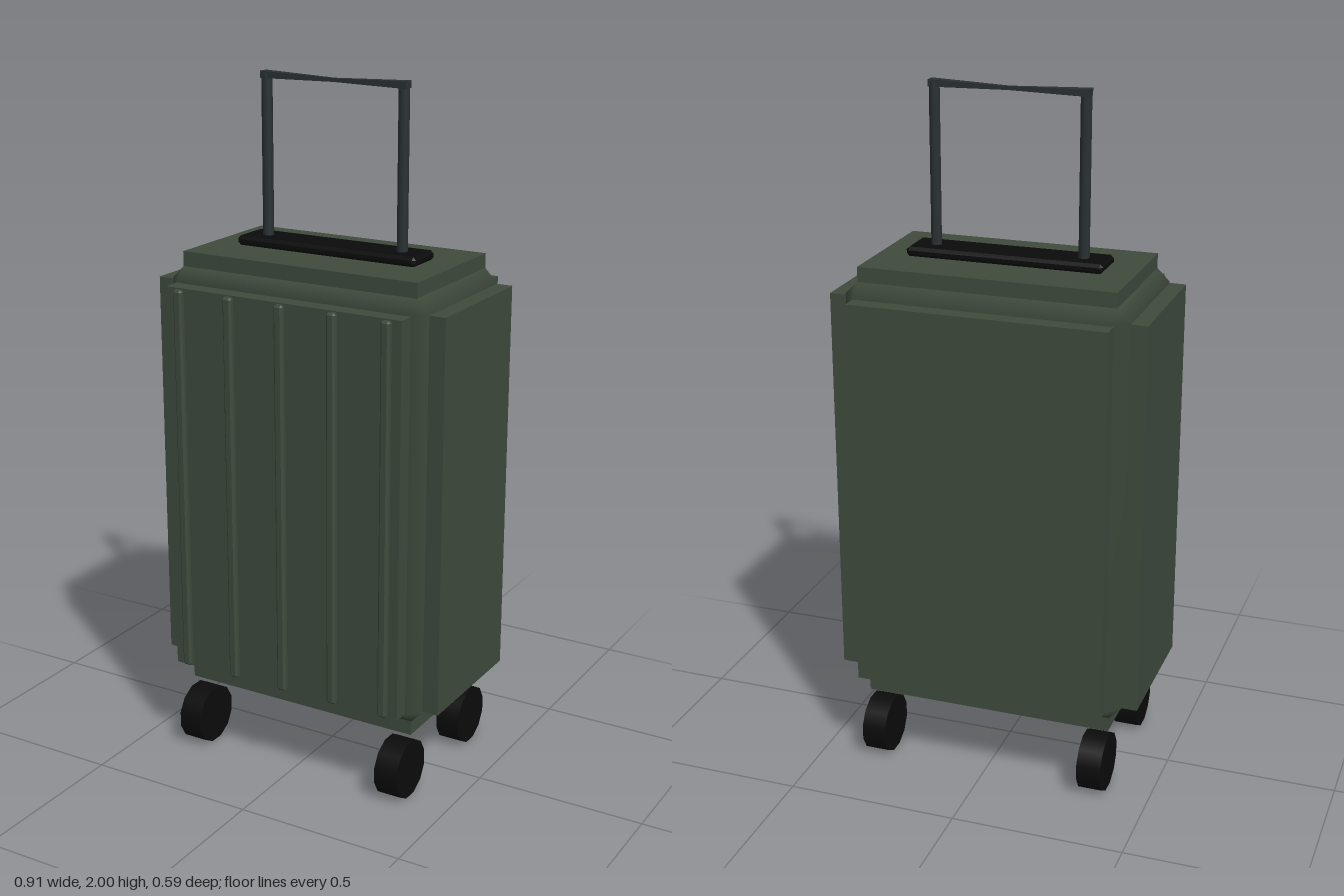
import * as THREE from 'three';
import { mergeVertices } from 'three/addons/utils/BufferGeometryUtils.js';
import { ConvexGeometry } from 'three/addons/geometries/ConvexGeometry.js';

const shellGreen = new THREE.MeshStandardMaterial({ color: 0x3f4b3d });
shellGreen.name = 'shellGreen';
const black = new THREE.MeshStandardMaterial({ color: 0x0b0b0b });
black.name = 'black';
const handleGrey = new THREE.MeshStandardMaterial({ color: 0x2a3134 });
handleGrey.name = 'handleGrey';

const ZC = -0.009; // depth centre of the case
const YC = 0.855; // height centre of the case

// Box with single-facet chamfers, given half sizes and chamfer size
function chamferedBox(hx, hy, hz, c) {
  const points = [];
  for (const sx of [-1, 1]) for (const sy of [-1, 1]) for (const sz of [-1, 1]) {
    points.push(
      new THREE.Vector3(sx * hx, sy * (hy - c), sz * (hz - c)),
      new THREE.Vector3(sx * (hx - c), sy * hy, sz * (hz - c)),
      new THREE.Vector3(sx * (hx - c), sy * (hy - c), sz * hz));
  }
  return new ConvexGeometry(points);
}

export function createModel() {
  const model = new THREE.Group();
  model.name = 'suitcase';

  function add(parent, name, geometry, material, x, y, z) {
    const mesh = new THREE.Mesh(geometry, material);
    mesh.name = name;
    mesh.position.set(x, y, z);
    parent.add(mesh);
    return mesh;
  }

  // Shell: softly shaded chamfered core with a raised panel on each side
  const shell = new THREE.Group();
  shell.name = 'shell';
  model.add(shell);
  let core = chamferedBox(0.408, 0.615, 0.239, 0.037);
  core.deleteAttribute('normal');
  core = mergeVertices(core, 1e-4);
  core.computeVertexNormals();
  add(shell, 'core', core, shellGreen, 0, YC, ZC);
  add(shell, 'frontBackPanels', new THREE.BoxGeometry(0.742, 1.148, 0.575), shellGreen, 0, YC, ZC);
  add(shell, 'sidePanels', new THREE.BoxGeometry(0.91, 1.148, 0.406), shellGreen, 0, YC, ZC);
  add(shell, 'topBottomPanels', new THREE.BoxGeometry(0.742, 1.314, 0.406), shellGreen, 0, YC, ZC);

  // Vertical ribs on the front
  const ribGeometry = chamferedBox(0.014, 0.57, 0.014, 0.006);
  for (let i = -2; i <= 2; i++) {
    add(shell, 'rib', ribGeometry, shellGreen, i * 0.164, YC, 0.28);
  }

  // Handle base plate
  add(model, 'handlePlate', chamferedBox(0.286, 0.014, 0.06, 0.009), black, 0, 1.525, ZC);

  // Telescopic handle: two posts and a grip that pinches in the middle
  const handle = new THREE.Group();
  handle.name = 'handle';
  model.add(handle);
  const postGeometry = new THREE.CylinderGeometry(0.016, 0.016, 0.475, 8);
  for (const s of [-1, 1]) add(handle, 'post', postGeometry, handleGrey, s * 0.216, 1.7575, ZC);
  const grip = new THREE.BoxGeometry(0.46, 0.02, 0.03, 8, 1, 1).toNonIndexed();
  const p = grip.attributes.position;
  for (let i = 0; i < p.count; i++) {
    const t = Math.abs(p.getX(i)) / 0.23;
    p.setY(i, p.getY(i) * (0.5 + 0.5 * t) - 0.002 * (1 - t));
    p.setZ(i, p.getZ(i) * (0.4 + 0.6 * t) - 0.002 * Math.sign(-p.getX(i)) * t);
  }
  grip.computeVertexNormals();
  add(handle, 'grip', grip, handleGrey, 0, 1.99, ZC);

  // Four wheels
  const wheelGeometry = new THREE.CylinderGeometry(0.087, 0.087, 0.072, 12);
  wheelGeometry.rotateZ(Math.PI / 2);
  wheelGeometry.rotateX(Math.PI / 12);
  for (const sx of [-1, 1]) for (const sz of [-1, 1]) {
    add(model, 'wheel', wheelGeometry, black, sx * 0.334, 0.087, sz * 0.193 - 0.003);
  }

  return model;
}
